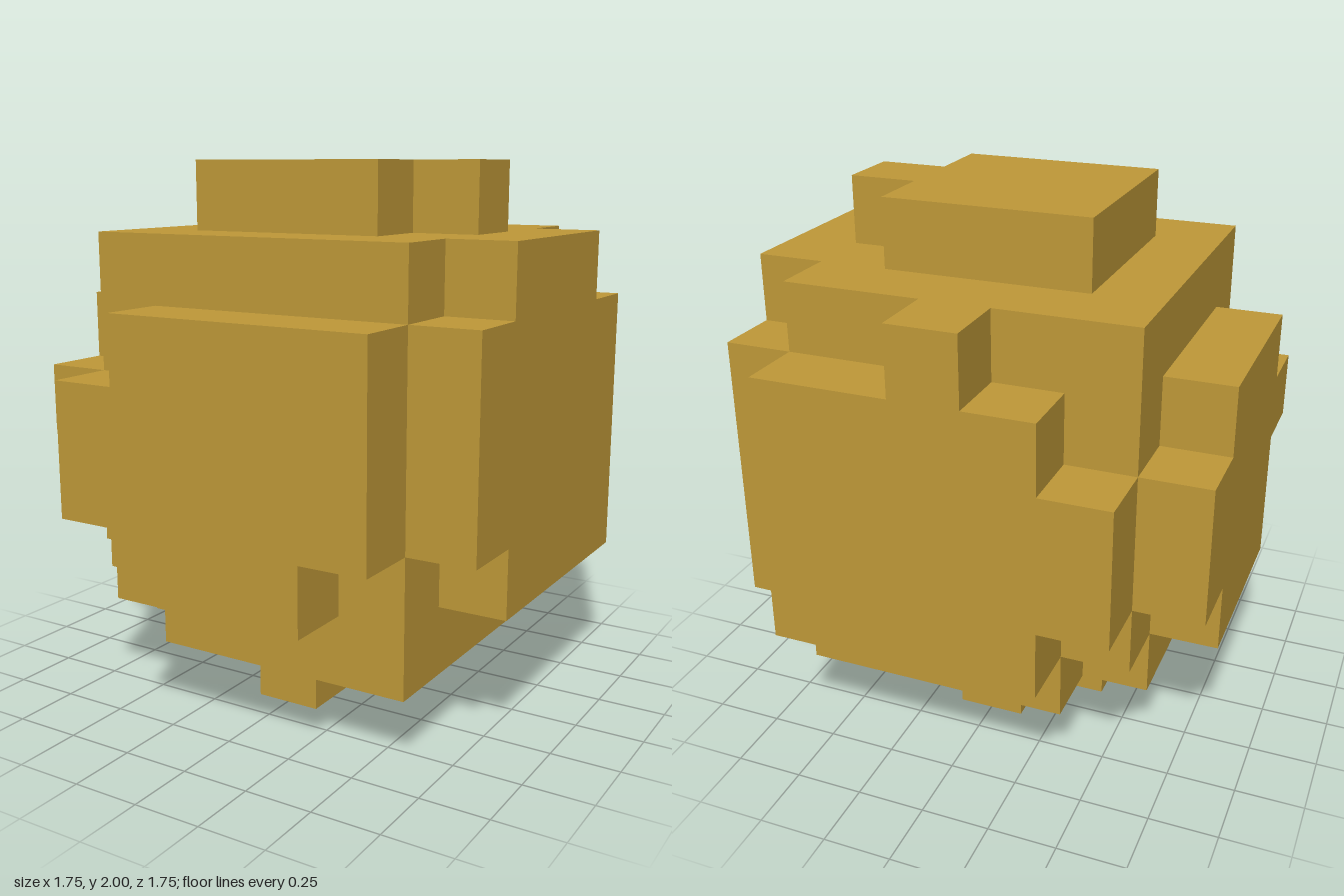
import * as THREE from 'three';

const U = 0.125; // half of one block
const CELL = 2;  // one block, in half-block units

// Extrudes a stepped outline (half-block units) as a flat slab
function slab(points, depth) {
  const shape = new THREE.Shape(points.map(([a, b]) => new THREE.Vector2(a * U, b * U)));
  return new THREE.ExtrudeGeometry(shape, { depth: depth * U, bevelEnabled: false });
}

export function createModel() {
  const group = new THREE.Group();
  const ochre = new THREE.MeshStandardMaterial({ color: 0xbe9838 });
  ochre.name = 'ochre';

  const add = (name, geometry) => {
    const mesh = new THREE.Mesh(geometry, ochre);
    mesh.name = name;
    group.add(mesh);
  };
  // Outline in (x, z), hanging down from height top
  const level = (name, top, depth, pts) =>
    add(name, slab(pts, depth).rotateX(Math.PI / 2).translate(0, top * U, 0));
  // Outline in (x, y), starting at z
  const facing = (name, z, pts) => add(name, slab(pts, CELL).translate(0, 0, z * U));
  // Outline in (z, y), ending at x
  const sideways = (name, x, pts) =>
    add(name, slab(pts, CELL).rotateY(-Math.PI / 2).translate(x * U, 0, 0));

  // Body
  level('body', 14, 10, [[-5, -5], [5, -5], [5, 5], [-5, 5]]);
  // Lowest body layer with two notched corners
  level('bodyBase', 4, CELL, [[-3, -5], [5, -5], [5, 5], [-3, 5], [-3, 3], [-5, 3], [-5, -3], [-3, -3]]);
  // Cap with a single block at its side
  level('topCap', 16, CELL, [[-3, -3], [3, -3], [3, -1], [5, -1], [5, 1], [3, 1], [3, 3], [-3, 3]]);
  // Cross-shaped foot
  level('foot', 2, CELL, [[-1, -3], [1, -3], [1, -1], [3, -1], [3, 1], [1, 1],
    [1, 3], [-1, 3], [-1, 1], [-3, 1], [-3, -1], [-1, -1]]);

  // Front and back plates
  facing('frontPlate', 5, [[-3, 4], [3, 4], [3, 6], [5, 6], [5, 12], [-3, 12],
    [-3, 10], [-5, 10], [-5, 6], [-3, 6]]);
  facing('backPlate', -7, [[-3, 4], [5, 4], [5, 12], [1, 12], [1, 14], [-1, 14], [-1, 12],
    [-3, 12], [-3, 10], [-5, 10], [-5, 6], [-3, 6]]);

  // Side plates
  sideways('leftPlate', 7, [[-5, 4], [3, 4], [3, 6], [5, 6], [5, 12], [3, 12], [3, 14],
    [-3, 14], [-3, 12], [-5, 12]]);
  sideways('rightPlate', -5, [[-3, 4], [3, 4], [3, 8], [5, 8], [5, 10], [3, 10], [3, 12],
    [-3, 12], [-3, 10], [-5, 10], [-5, 6], [-3, 6]]);

  return group;
}
